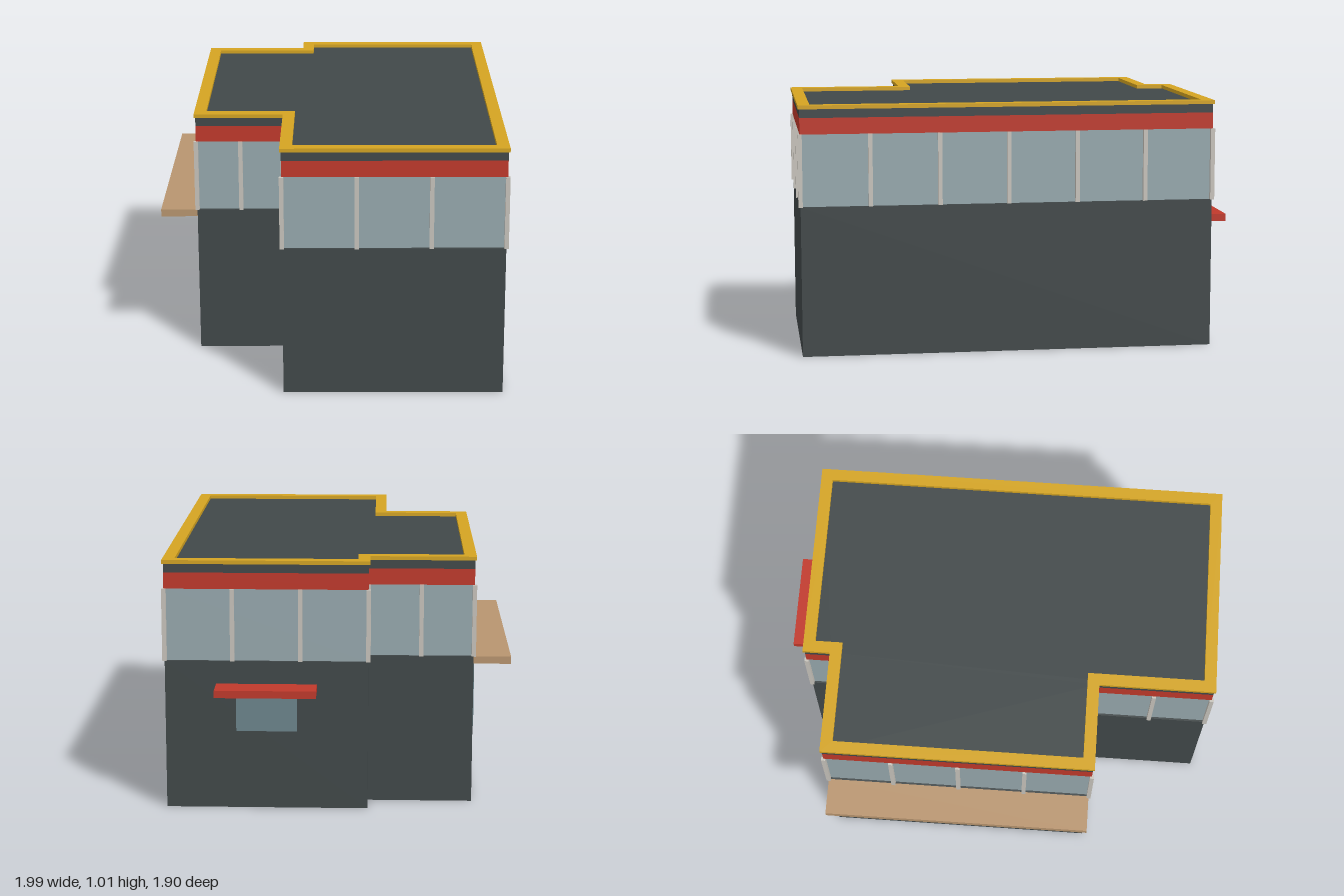
import * as THREE from 'three';

const mat = (name, color) => Object.assign(new THREE.MeshStandardMaterial({ color }), { name });

export function createModel() {
  const wall = mat('charcoal wall', 0x414849);
  const glass = mat('pale glass', 0x97a9ae);
  const windowGlass = mat('dark glass', 0x6c858c);
  const red = mat('red', 0xc0392b);
  const gold = mat('gold', 0xd4a422);
  const wood = mat('wood', 0xb8956f);
  const frame = mat('light frame', 0xc8c4bc);

  // The plan is drawn square to its own axes, then turned on the plot
  const building = new THREE.Group();
  building.name = 'building';
  building.rotation.y = THREE.MathUtils.degToRad(31);

  const plan = [
    [0.59, -0.743], [0.59, 0.926], [-0.277, 0.926], [-0.277, 0.455],
    [-0.636, 0.455], [-0.636, -0.632], [-0.216, -0.632], [-0.216, -0.743],
  ].map(([x, z]) => new THREE.Vector2(x, z));
  const n = plan.length;

  // Push every wall of the right-angled plan outward by d
  const outward = (i) => {
    const e = plan[(i + 1) % n].clone().sub(plan[i]).normalize();
    return new THREE.Vector2(e.y, -e.x);
  };
  const offsetPlan = (d) => plan.map((p, i) =>
    p.clone().addScaledVector(outward(i), d).addScaledVector(outward((i + n - 1) % n), d));

  function add(name, geometry, material) {
    const mesh = new THREE.Mesh(geometry, material);
    mesh.name = name;
    building.add(mesh);
    return mesh;
  }

  // Storey band following the plan, optionally hollow
  function band(name, y0, y1, offset, material, holeOffset) {
    const shape = new THREE.Shape(offsetPlan(offset));
    if (holeOffset !== undefined) shape.holes.push(new THREE.Path(offsetPlan(holeOffset)));
    const g = new THREE.ExtrudeGeometry(shape, { depth: y1 - y0, bevelEnabled: false });
    g.rotateX(Math.PI / 2).translate(0, y1, 0);
    add(name, g, material);
  }

  // Box given by its limits
  function box(name, [x0, x1], [y0, y1], [z0, z1], material) {
    const g = new THREE.BoxGeometry(x1 - x0, y1 - y0, z1 - z0);
    add(name, g, material).position.set((x0 + x1) / 2, (y0 + y1) / 2, (z0 + z1) / 2);
  }

  band('lowerWalls', 0, 0.605, 0, wall);
  band('upperGlazing', 0.605, 0.895, -0.008, glass);
  band('redFascia', 0.895, 0.96, 0, red);
  band('roof', 0.96, 0.995, 0, wall);
  band('roofTrim', 0.995, 1.01, 0.006, gold, -0.042);

  // Mullions evenly spaced along each wall, starting at its corner
  const mullion = new THREE.BoxGeometry(0.017, 0.29, 0.017);
  plan.forEach((a, i) => {
    const b = plan[(i + 1) % n];
    const bays = Math.ceil(a.distanceTo(b) / 0.3);
    for (let k = 0; k < bays; k++) {
      const p = a.clone().lerp(b, k / bays);
      add('mullion', mullion, frame).position.set(p.x, 0.75, p.y);
    }
  });

  // Wooden canopy over the wide shop window
  box('woodCanopy', [-0.785, -0.636], [0.575, 0.605], [-0.632, 0.455], wood);
  box('shopWindow', [-0.648, -0.63], [0.26, 0.56], [-0.437, 0.257], windowGlass);

  // Red awning over the small rear window
  box('rearAwning', [-0.013, 0.387], [0.482, 0.512], [-0.855, -0.743], red);
  box('rearWindow', [0.066, 0.308], [0.32, 0.455], [-0.752, -0.738], windowGlass);

  const model = new THREE.Group();
  model.name = 'cornerShop';
  model.add(building);
  return model;
}
